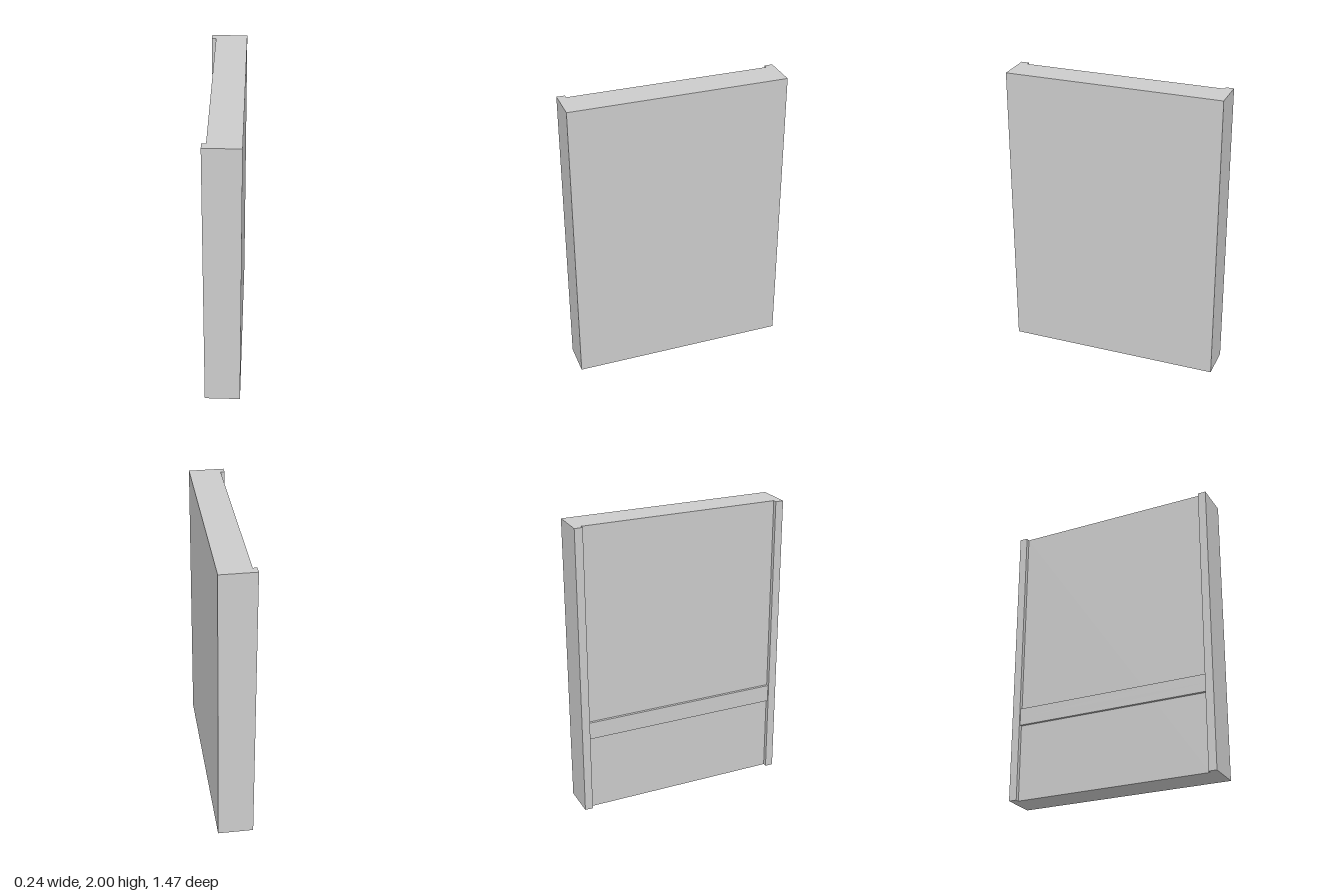
import * as THREE from 'three';

const material = new THREE.MeshStandardMaterial({ color: 0xcccccc, flatShading: true });

export function createModel() {
  const group = new THREE.Group();
  const halfX = 0.12, halfZ = 0.735, height = 2;
  const panelX = -0.092, recessZ = 0.68, railX = -0.11;

  // Wall slab: plan outline with a shallow recess on the -x side, extruded upwards
  const plan = new THREE.Shape([
    [halfX, -halfZ], [halfX, halfZ], [-halfX, halfZ], [-halfX, recessZ],
    [panelX, recessZ], [panelX, -recessZ], [-halfX, -recessZ], [-halfX, -halfZ],
  ].map(([x, y]) => new THREE.Vector2(x, y)));
  const wallGeometry = new THREE.ExtrudeGeometry(plan, { depth: height, bevelEnabled: false });
  wallGeometry.rotateX(-Math.PI / 2);
  const wall = new THREE.Mesh(wallGeometry, material);
  wall.name = 'wallPanel';
  group.add(wall);

  // Two stacked boards form the rail across the recess
  const addRail = (name, bottom, top) => {
    const depth = panelX - railX;
    const rail = new THREE.Mesh(new THREE.BoxGeometry(depth, top - bottom, 2 * recessZ), material);
    rail.position.set(railX + depth / 2, (bottom + top) / 2, 0);
    rail.name = name;
    group.add(rail);
  };
  addRail('lowerRail', 0.53, 0.59);
  addRail('upperRail', 0.59, 0.65);

  return group;
}
